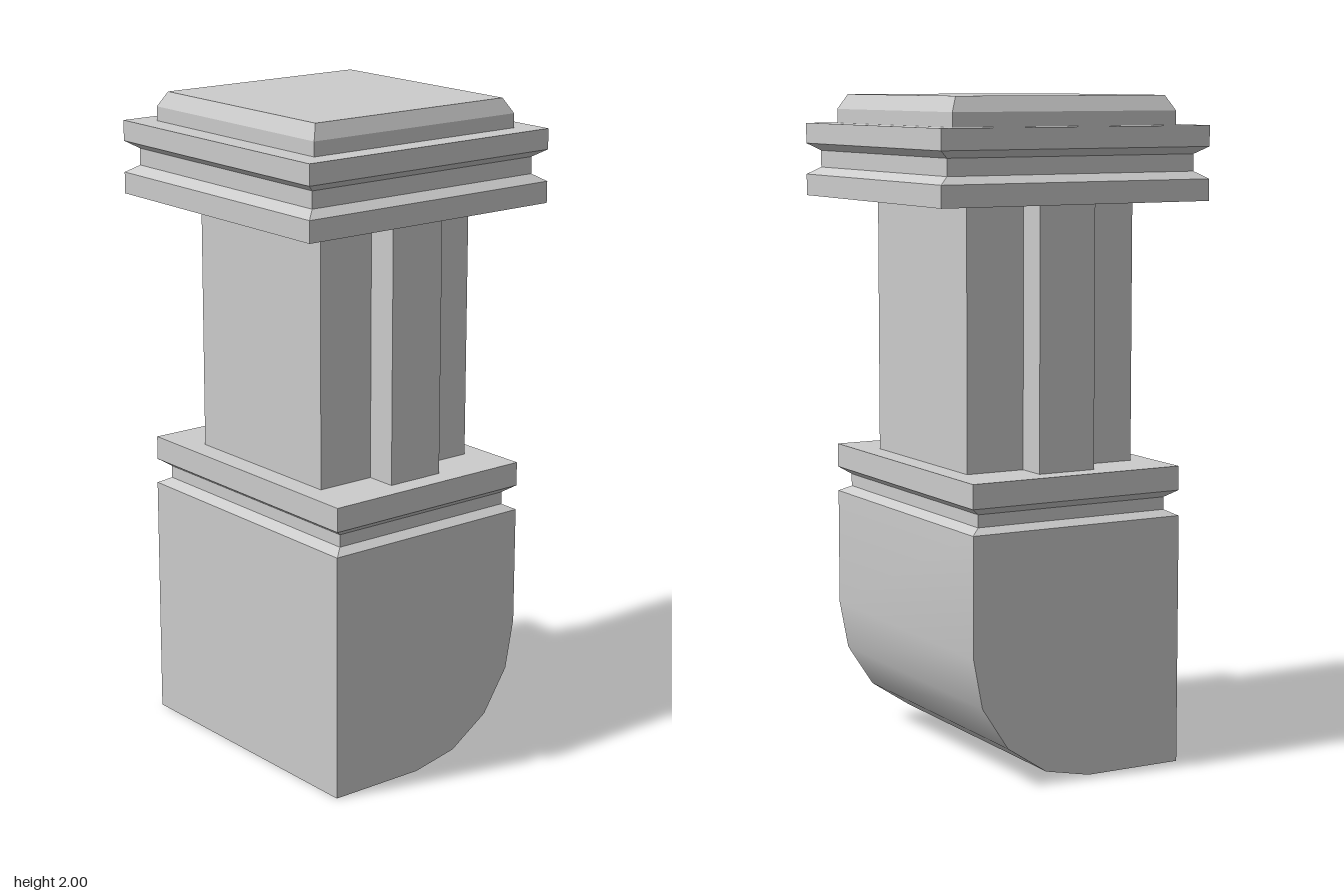
import * as THREE from 'three';
import { toCreasedNormals } from 'three/addons/utils/BufferGeometryUtils.js';

const material = new THREE.MeshStandardMaterial({ color: 0xcccccc });

function addMesh(group, name, geometry) {
  const mesh = new THREE.Mesh(geometry, material);
  mesh.name = name;
  group.add(mesh);
  return mesh;
}

// Closed stack of rectangles; each level is [y, halfWidth, halfDepth]
function rectangleLoft(levels) {
  const positions = [];
  const rings = levels.map(([y, w, d]) => [[-w, y, d], [w, y, d], [w, y, -d], [-w, y, -d]]);
  const quad = (a, b, c, d) => positions.push(...a, ...b, ...c, ...a, ...c, ...d);
  for (let i = 0; i < rings.length - 1; i++) {
    for (let k = 0; k < 4; k++) {
      const n = (k + 1) % 4;
      quad(rings[i][k], rings[i][n], rings[i + 1][n], rings[i + 1][k]);
    }
  }
  quad(...rings[rings.length - 1]);
  quad(...[...rings[0]].reverse());
  const geometry = new THREE.BufferGeometry();
  geometry.setAttribute('position', new THREE.Float32BufferAttribute(positions, 3));
  geometry.computeVertexNormals();
  return geometry;
}

export function createModel() {
  const group = new THREE.Group();
  group.name = 'pillar';

  // Foot block with one rounded lower edge on the +x side
  const profile = [
    [-0.35, 0], [-0.04, 0], [0.105, 0.03], [0.233, 0.115],
    [0.318, 0.245], [0.347, 0.395], [0.347, 0.755], [-0.35, 0.755],
  ].map(([x, y]) => new THREE.Vector2(x, y));
  const foot = new THREE.ExtrudeGeometry(new THREE.Shape(profile), { depth: 0.9, bevelEnabled: false });
  foot.translate(0, 0, -0.45);
  addMesh(group, 'roundedFoot', toCreasedNormals(foot, 0.6));

  // Grooved moulding above the foot
  addMesh(group, 'footMoulding', rectangleLoft([
    [0.755, 0.348, 0.45], [0.772, 0.315, 0.42], [0.81, 0.315, 0.42],
    [0.832, 0.348, 0.45], [0.905, 0.348, 0.45],
  ]));

  // Shaft with a raised strip on the front and back
  const shaft = addMesh(group, 'shaft', new THREE.BoxGeometry(0.56, 0.785, 0.576));
  shaft.position.y = 1.2975;
  for (const side of [1, -1]) {
    const strip = addMesh(group, side > 0 ? 'frontStrip' : 'backStrip', new THREE.BoxGeometry(0.185, 0.785, 0.097));
    strip.position.set(0, 1.2975, side * 0.3365);
  }

  // Grooved capital
  addMesh(group, 'capital', rectangleLoft([
    [1.69, 0.446, 0.449], [1.755, 0.446, 0.449], [1.777, 0.411, 0.417],
    [1.828, 0.411, 0.417], [1.85, 0.446, 0.449], [1.912, 0.446, 0.449],
  ]));

  // Bevelled top slab
  addMesh(group, 'topSlab', rectangleLoft([
    [1.912, 0.373, 0.378], [1.955, 0.373, 0.378], [2, 0.349, 0.353],
  ]));

  return group;
}
